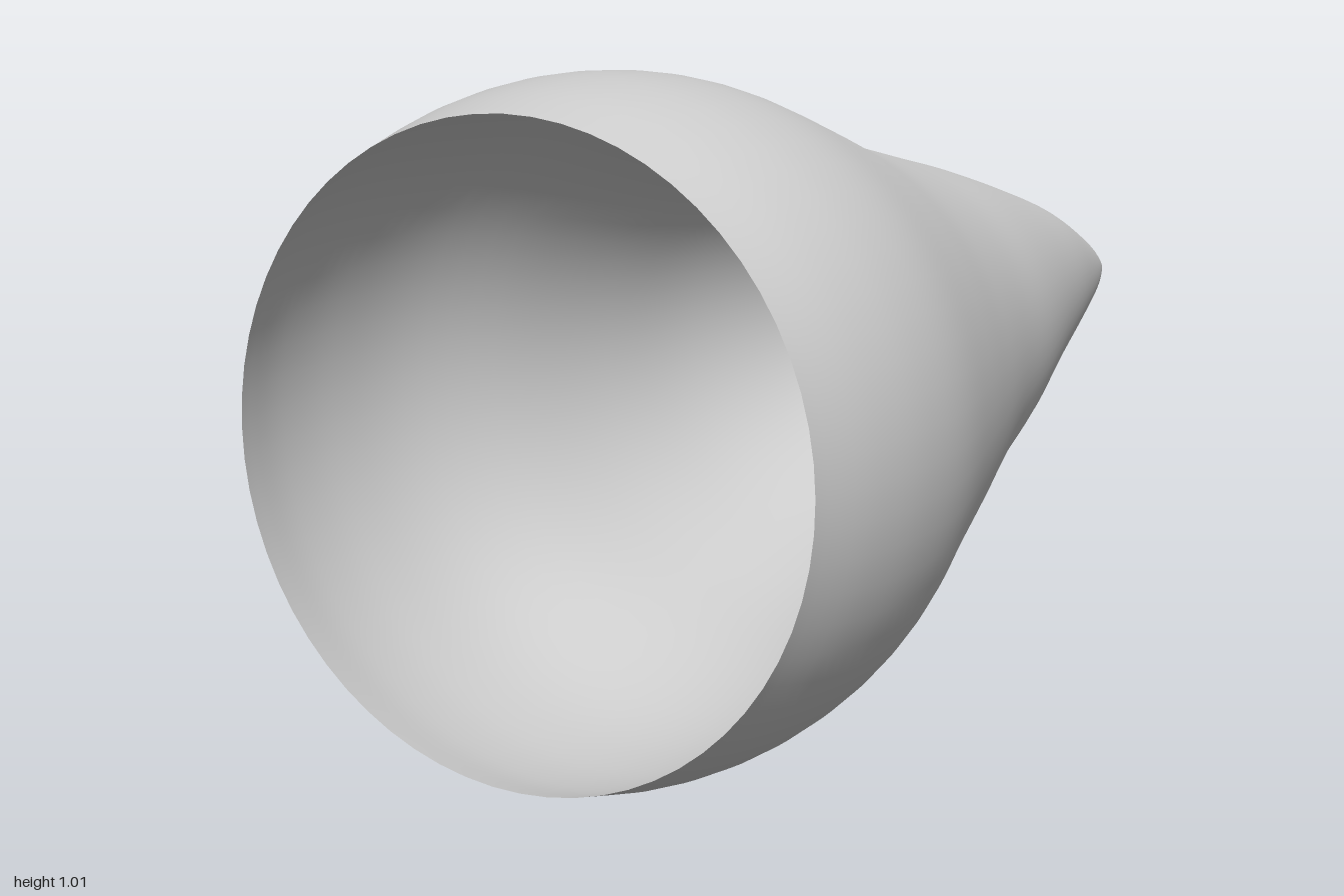
import * as THREE from 'three';

// Cross-sections from the open mouth to the tip: z, radius, centre shift x, centre shift y
const SECTIONS = [
  [1, 0.465, 0, 0], [0.88, 0.494, 0, 0], [0.75, 0.504, 0, 0], [0.6, 0.487, 0, 0],
  [0.4, 0.425, 0.004, 0.002], [0.2, 0.37, -0.004, -0.003], [0, 0.32, -0.014, 0.003],
  [-0.2, 0.267, -0.008, 0.012], [-0.4, 0.204, 0, 0.023], [-0.6, 0.145, 0.002, 0.025],
  [-0.8, 0.08, 0.002, 0.014], [-0.92, 0.036, 0, 0.005], [-1, 0.001, 0, 0],
];
const CENTRE_Y = 0.507;

// Loft round rings along a slightly winding axis
function loftShell(rings, sides) {
  const curve = (f) => new THREE.CatmullRomCurve3(SECTIONS.map(f), false, 'catmullrom', 0.5);
  const axis = curve(([z, , x, y]) => new THREE.Vector3(x, y, z));
  const radius = curve(([z, r]) => new THREE.Vector3(r, 0, z));
  const positions = [];
  const index = [];
  for (let i = 0; i <= rings; i++) {
    const c = axis.getPoint(i / rings);
    const r = radius.getPoint(i / rings).x;
    for (let j = 0; j < sides; j++) {
      const a = (j / sides) * Math.PI * 2;
      positions.push(c.x + r * Math.cos(a), CENTRE_Y + c.y + r * Math.sin(a), c.z);
      if (i === rings) continue;
      const p = i * sides + j;
      const q = i * sides + ((j + 1) % sides);
      index.push(p, p + sides, q, q, p + sides, q + sides);
    }
  }
  const geometry = new THREE.BufferGeometry();
  geometry.setAttribute('position', new THREE.Float32BufferAttribute(positions, 3));
  geometry.setIndex(index);
  geometry.computeVertexNormals();
  return geometry;
}

export function createModel() {
  const group = new THREE.Group();
  group.name = 'hollowCone';
  // Thin pointed shell, open at the front
  const shell = new THREE.Mesh(
    loftShell(60, 64),
    new THREE.MeshStandardMaterial({ color: 0xcccccc, side: THREE.DoubleSide }),
  );
  shell.name = 'coneShell';
  group.add(shell);
  return group;
}
